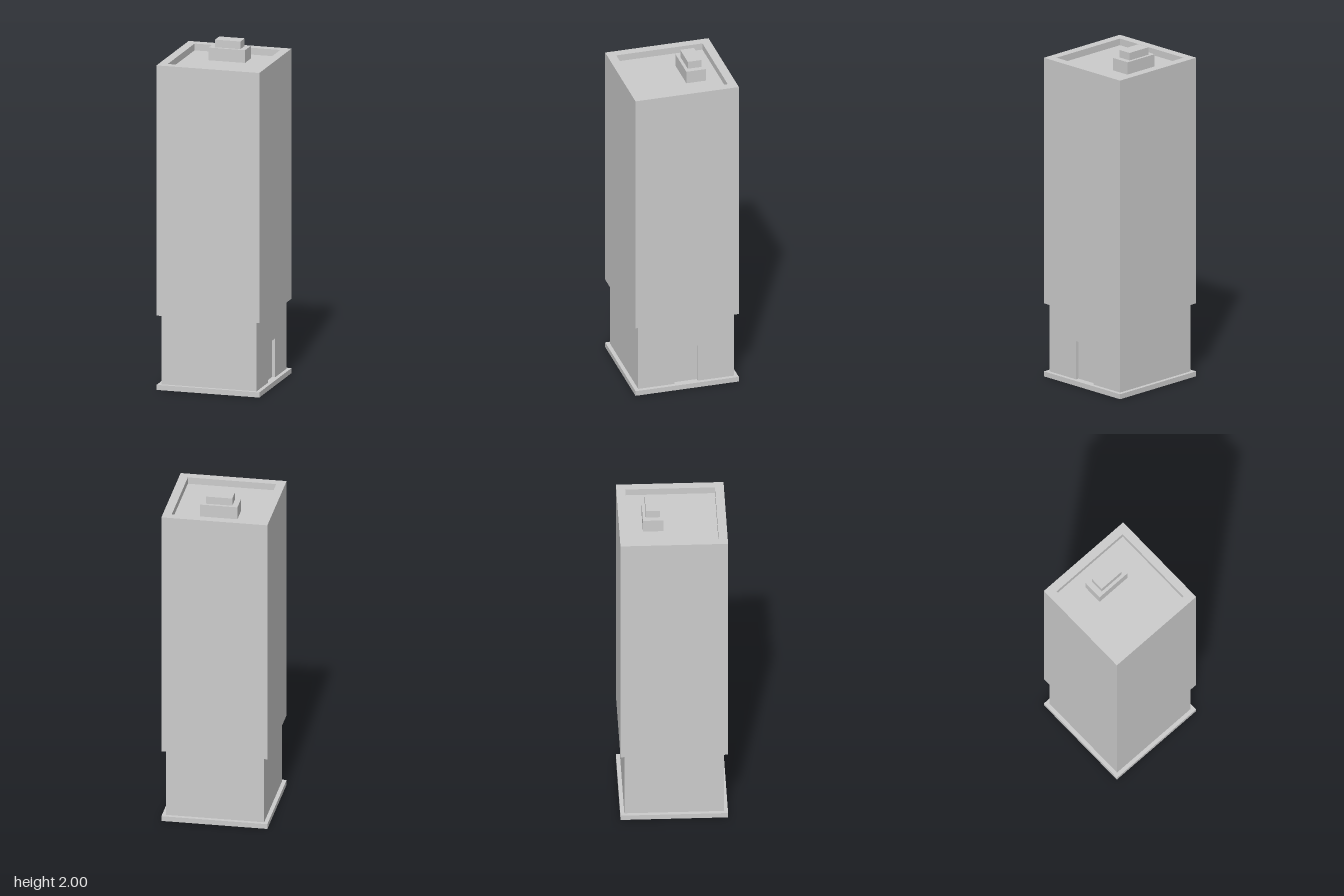
import * as THREE from 'three';

const material = new THREE.MeshStandardMaterial({ color: 0xcccccc, flatShading: true });

function addPart(parent, name, geometry, x = 0, y = 0, z = 0) {
  const mesh = new THREE.Mesh(geometry, material);
  mesh.name = name;
  mesh.position.set(x, y, z);
  parent.add(mesh);
  return mesh;
}

// Box resting on height y0
function addBlock(parent, name, w, y0, y1, d, x = 0, z = 0) {
  return addPart(parent, name, new THREE.BoxGeometry(w, y1 - y0, d), x, (y0 + y1) / 2, z);
}

// Square solid from a [half-width, height] profile
function squareLathe(profile) {
  const points = profile.map(([h, y]) => new THREE.Vector2(h * Math.SQRT2, y));
  return new THREE.LatheGeometry(points, 4, Math.PI / 4);
}

export function createModel() {
  const model = new THREE.Group();
  model.name = 'towerBlock';
  const building = new THREE.Group();
  building.name = 'building';
  building.rotation.y = -0.0485; // the block stands slightly turned
  model.add(building);

  const half = 0.3095, podium = 0.2865, inner = 0.258;
  const slabTop = 0.03, podiumTop = 0.44, roof = 1.88, top = 1.92;

  addBlock(building, 'baseSlab', half * 2, 0, slabTop, half * 2);

  // Ground storey: solid core plus a thin entrance wall with the doorway cut out
  const recess = 0.02, doorHalf = 0.07, doorTop = 0.26;
  addBlock(building, 'podium', podium * 2 - recess, slabTop, podiumTop, podium * 2, -recess / 2);
  const wall = new THREE.Shape([
    [-podium, slabTop], [-doorHalf, slabTop], [-doorHalf, doorTop], [doorHalf, doorTop],
    [doorHalf, slabTop], [podium, slabTop], [podium, podiumTop], [-podium, podiumTop],
  ].map(([x, y]) => new THREE.Vector2(x, y)));
  const entrance = addPart(building, 'entranceWall',
    new THREE.ExtrudeGeometry(wall, { depth: recess, bevelEnabled: false }), podium - recess);
  entrance.rotation.y = Math.PI / 2;

  // Overhanging shaft with parapet and sunken roof
  addPart(building, 'tower', squareLathe([
    [0, podiumTop], [half, podiumTop], [half, top], [inner, top], [inner, roof], [0, roof],
  ]));

  // Stepped plant room on the roof
  addBlock(building, 'plantRoom', 0.219, roof, 1.955, 0.118, 0, -0.113);
  addBlock(building, 'plantRoomCap', 0.153, 1.955, 2, 0.082, 0, -0.113);

  return model;
}
